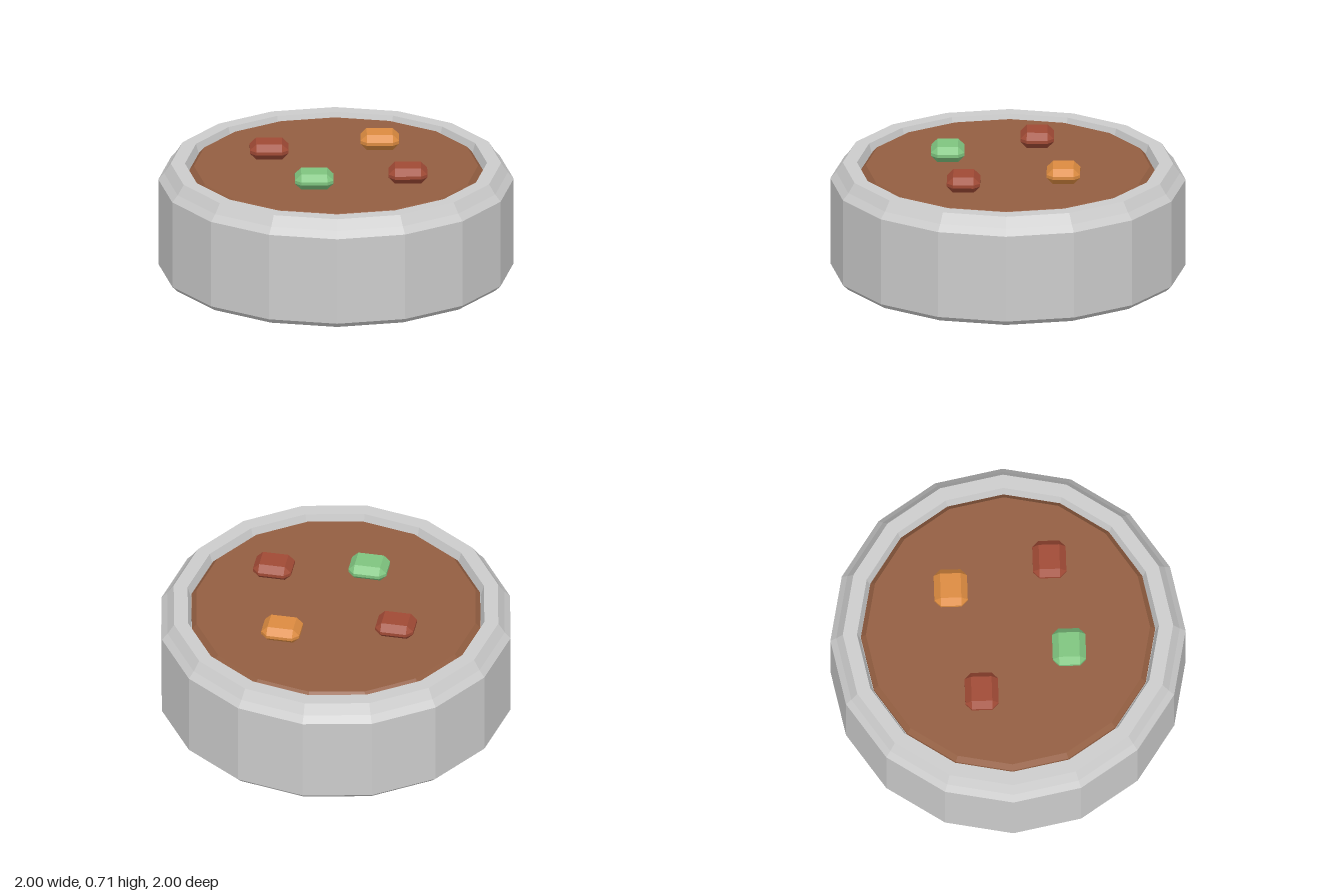
import * as THREE from 'three';
import { ConvexGeometry } from 'three/addons/geometries/ConvexGeometry.js';

const SIDES = 16;

function material(color) {
  return new THREE.MeshStandardMaterial({ color, flatShading: true });
}

// Faceted round part from a profile of [radius, height] pairs
function turned(name, profile, color) {
  const points = profile.map(([r, y]) => new THREE.Vector2(r, y));
  const mesh = new THREE.Mesh(new THREE.LatheGeometry(points, SIDES), material(color));
  mesh.name = name;
  return mesh;
}

// Box with every edge and corner chamfered by b
function chamferedBox(hx, hy, hz, b) {
  const points = [];
  for (const sx of [-1, 1]) for (const sy of [-1, 1]) for (const sz of [-1, 1]) {
    points.push(
      new THREE.Vector3(sx * hx, sy * (hy - b), sz * (hz - b)),
      new THREE.Vector3(sx * (hx - b), sy * hy, sz * (hz - b)),
      new THREE.Vector3(sx * (hx - b), sy * (hy - b), sz * hz)
    );
  }
  return new ConvexGeometry(points);
}

export function createModel() {
  const model = new THREE.Group();
  model.name = 'bowlOfStew';

  // Thick bowl with chamfered foot, stepped shoulder and shallow recess
  model.add(turned('bowl', [
    [0, 0], [0.97, 0], [1, 0.03], [1, 0.535], [0.967, 0.573],
    [0.93, 0.63], [0.85, 0.63], [0.83, 0.56], [0, 0.56]
  ], 0xcccccc));

  // Stew surface with a chamfered edge
  model.add(turned('stew', [[0.828, 0.565], [0.828, 0.585], [0.8, 0.615], [0, 0.615]], 0x935e41));

  // Chunks floating on top
  const chunkGeometry = chamferedBox(0.109, 0.045, 0.094, 0.036);
  const chunks = [
    ['meatChunkBack', -0.375, -0.16, 0xa04a35],
    ['meatChunkFront', 0.403, 0.245, 0xa04a35],
    ['herbChunk', -0.125, 0.34, 0x7fc47f],
    ['carrotChunk', 0.248, -0.315, 0xdc8b40]
  ];
  for (const [name, x, z, color] of chunks) {
    const chunk = new THREE.Mesh(chunkGeometry, material(color));
    chunk.name = name;
    chunk.position.set(x, 0.661, z);
    model.add(chunk);
  }
  return model;
}
